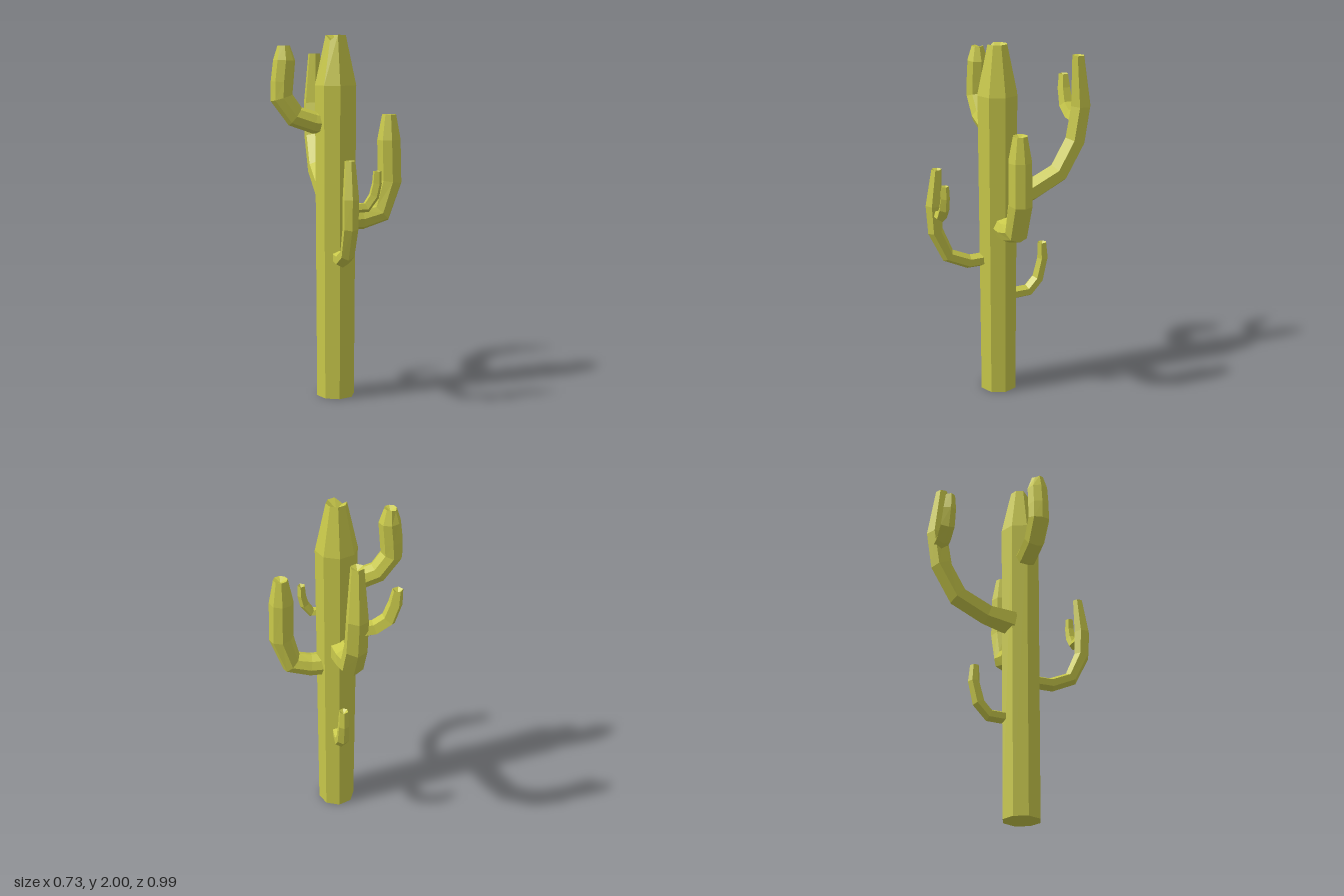
import * as THREE from 'three';

const material = new THREE.MeshStandardMaterial({ color: 0xc8c84a, flatShading: true });
const UP = new THREE.Vector3(0, 1, 0);

// A faceted limb that bends in one vertical plane.
// origin: [x, z] of the plane, heading: horizontal direction of growth,
// stations: [distance along heading, height, radius], tip: depth of the dimple,
// notch: how far the last corner of the tip is lowered.
function limb(name, { origin, heading, sides, stations, tip = 0.02, notch = 0 }) {
  const h = new THREE.Vector3(heading[0], 0, heading[1]);
  const side = new THREE.Vector3().crossVectors(UP, h);
  const last = stations.length - 1;
  const centers = stations.map(([d, y]) =>
    new THREE.Vector3(origin[0], y, origin[1]).addScaledVector(h, d));

  const rings = centers.map((c, i) => {
    // Average the neighbouring segment directions; the tip is cut level
    const t = new THREE.Vector3();
    if (i > 0) t.add(c.clone().sub(centers[i - 1]).normalize());
    if (i < last) t.add(centers[i + 1].clone().sub(c).normalize());
    if (i === last) t.copy(UP);
    t.normalize();
    const n = new THREE.Vector3().crossVectors(side, t);
    return Array.from({ length: sides }, (_, j) => {
      const a = (j / sides) * Math.PI * 2;
      const p = c.clone()
        .addScaledVector(n, Math.cos(a) * stations[i][2])
        .addScaledVector(side, Math.sin(a) * stations[i][2]);
      if (i === last && j === sides - 1) p.y -= notch;
      return p;
    });
  });

  const points = [];
  const dimple = centers[last].clone();
  dimple.y -= tip;
  for (let j = 0; j < sides; j++) {
    const k = (j + 1) % sides;
    for (let i = 0; i < last; i++) {
      const [a, b, c, d] = [rings[i][j], rings[i][k], rings[i + 1][k], rings[i + 1][j]];
      points.push(a, b, c, a, c, d);
    }
    points.push(centers[0], rings[0][k], rings[0][j]);
    points.push(dimple, rings[last][j], rings[last][k]);
  }
  const geometry = new THREE.BufferGeometry().setFromPoints(points);
  geometry.computeVertexNormals();
  const mesh = new THREE.Mesh(geometry, material);
  mesh.name = name;
  return mesh;
}

export function createModel() {
  const group = new THREE.Group();
  group.name = 'cactus';

  group.add(
    // Octagonal trunk with a tapered, notched crown
    limb('trunk', {
      origin: [-0.01, 0.078], heading: [0, 1], sides: 8, tip: 0.04, notch: 0.03,
      stations: [[0, 0, 0.106], [0, 1.73, 0.115], [0, 2, 0.056]],
    }),
    // Thick side arms
    limb('leftArm', {
      origin: [0, 0.075], heading: [1, 0], sides: 8,
      stations: [[0.05, 1, 0.065], [0.14, 1, 0.065], [0.245, 1.03, 0.066],
        [0.298, 1.2, 0.068], [0.292, 1.43, 0.067], [0.292, 1.57, 0.04]],
    }),
    limb('rightArm', {
      origin: [0, 0.08], heading: [-1, 0], sides: 8, notch: 0.01,
      stations: [[0.05, 1.52, 0.06], [0.13, 1.53, 0.06], [0.235, 1.565, 0.06],
        [0.308, 1.665, 0.062], [0.305, 1.75, 0.062], [0.293, 1.865, 0.06], [0.295, 1.943, 0.034]],
    }),
    // Tall back arm and the branch on it
    limb('backArm', {
      origin: [-0.03, 0], heading: [0, -1], sides: 6,
      stations: [[-0.02, 1.13, 0.08], [0.13, 1.16, 0.064], [0.3, 1.245, 0.064],
        [0.4, 1.42, 0.063], [0.432, 1.615, 0.06], [0.41, 1.9, 0.036]],
    }),
    limb('backArmBranch', {
      origin: [0, -0.42], heading: [-1, 0], sides: 5,
      stations: [[0.04, 1.54, 0.042], [0.12, 1.545, 0.042], [0.19, 1.59, 0.042],
        [0.222, 1.68, 0.038], [0.232, 1.76, 0.028]],
    }),
    // Slender front arm and the branch on it
    limb('frontArm', {
      origin: [-0.012, 0], heading: [0, 1], sides: 6,
      stations: [[0.12, 0.8, 0.04], [0.255, 0.797, 0.04], [0.375, 0.85, 0.04],
        [0.445, 1, 0.043], [0.453, 1.15, 0.045], [0.432, 1.35, 0.029]],
    }),
    limb('frontArmBranch', {
      origin: [0, 0.438], heading: [1, 0], sides: 5,
      stations: [[-0.01, 1.105, 0.029], [0.075, 1.108, 0.029], [0.115, 1.165, 0.029],
        [0.13, 1.23, 0.027], [0.132, 1.295, 0.023]],
    }),
    // Small low arm at the back
    limb('lowBackArm', {
      origin: [-0.005, 0], heading: [0, -1], sides: 6,
      stations: [[-0.02, 0.565, 0.036], [0.105, 0.57, 0.038], [0.165, 0.635, 0.037],
        [0.194, 0.755, 0.033], [0.19, 0.85, 0.026]],
    }),
  );
  return group;
}
